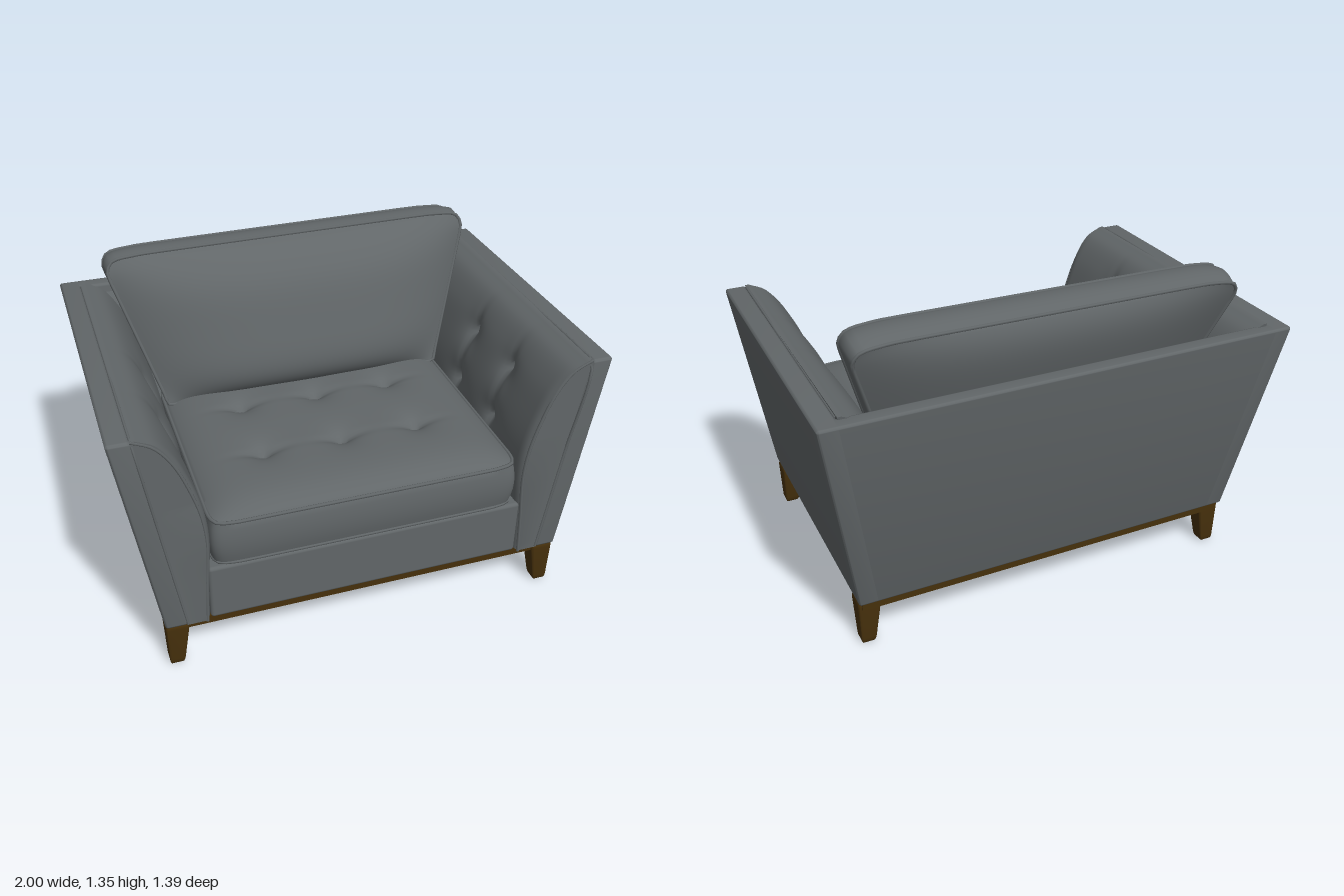
import * as THREE from 'three';
import { toCreasedNormals } from 'three/addons/utils/BufferGeometryUtils.js';
import { RoundedBoxGeometry } from 'three/addons/geometries/RoundedBoxGeometry.js';

const lerp = THREE.MathUtils.lerp;
const V = (x, y, z) => new THREE.Vector3(x, y, z);

// Move every vertex by a rule, then rebuild normals
function warp(geo, rule, crease = 0.7) {
  const p = geo.attributes.position;
  for (let i = 0; i < p.count; i++) p.setXYZ(i, ...rule(p.getX(i), p.getY(i), p.getZ(i)));
  geo.deleteAttribute('normal');
  geo.deleteAttribute('uv');
  geo.clearGroups();
  return toCreasedNormals(geo, crease);
}

// Dimple depth of a row of buttons at point (a, b)
function dimple(a, b, buttons, depth) {
  let d = 0;
  for (const [p, q] of buttons) {
    const da = a - p, db = b - q;
    d += depth * Math.exp(-Math.hypot(da, db) / 0.05);
    // short folds running out of each button
    d += depth * 0.25 * Math.exp(-(da * da) / 0.012 - (db * db) / 0.0004);
  }
  return d;
}

export function createModel() {
  const group = new THREE.Group();
  const fabric = new THREE.MeshStandardMaterial({ color: 0x616668 });
  fabric.name = 'greyFabric';
  const wood = new THREE.MeshStandardMaterial({ color: 0x46300c });
  wood.name = 'darkWood';

  const add = (name, geo, mat = fabric) => {
    const mesh = new THREE.Mesh(geo, mat);
    mesh.name = name;
    group.add(mesh);
    return mesh;
  };
  const piping = (name, pts, closed = false, r = 0.006) => add(name, new THREE.TubeGeometry(
    new THREE.CatmullRomCurve3(pts, closed, 'centripetal'), closed ? 160 : 40, r, 6, closed));

  const Y0 = 0.21, H = 0.91;
  const seamX = (y) => 0.765 + 0.145 * (y - Y0) / H;   // line between arm shell and padding

  // Padded inner arm profile, bottom to top
  const profile = new THREE.CatmullRomCurve3([
    V(0.67, 0.21, 0), V(0.66, 0.42, 0), V(0.65, 0.6, 0), V(0.665, 0.74, 0),
    V(0.705, 0.88, 0), V(0.755, 1.0, 0), V(0.82, 1.085, 0), V(0.895, 1.122, 0)]);
  const armButtons = [[0.92, -0.02], [0.92, 0.32], [0.69, -0.02], [0.69, 0.32]];

  for (const s of [1, -1]) {
    const side = s > 0 ? 'left' : 'right';
    // Outer arm shell, leaning out and back
    add(side + 'ArmShell', warp(new RoundedBoxGeometry(0.09, H, 1.23, 3, 0.012), (x, y, z) => {
      const t = y / H + 0.5, f = z / 1.23 + 0.5;
      return [s * 0.81 + s * 0.145 * t + x, Y0 + H * t - 0.01 * t * (1 - f), lerp(-0.55 - 0.14 * t, 0.68, f)];
    }));
    // Tufted arm padding
    add(side + 'ArmPadding', warp(new THREE.BoxGeometry(1, 1, 1, 1, 48, 72), (x, y, z) => {
      const c = profile.getPoint(y + 0.5), a = 0.5 + s * x, f = z + 0.5;
      const t = (c.y - Y0) / H;
      const zz = lerp(-0.5 - 0.14 * t, 0.677, f);
      const round = 0.02 * Math.max(0, (zz - 0.64) / 0.037) ** 2 * Math.min(1, 4 * (1 - t));
      const inner = Math.min(c.x + round + dimple(c.y, zz, armButtons, 0.05), seamX(c.y));
      return [s * lerp(inner, seamX(c.y), a), c.y, zz];
    }, 0.9));
    // Arm seams
    piping(side + 'ArmSeam', [V(s * 0.765, 0.215, 0.677), V(s * 0.838, 0.67, 0.677),
      V(s * 0.908, 1.11, 0.675), V(s * 0.91, 1.119, 0.6), V(s * 0.91, 1.114, 0), V(s * 0.91, 1.108, -0.62)]);
    piping(side + 'ArmFrontPiping', profile.getPoints(14).map((p) => V(s * (p.x + 0.016), p.y - 0.004, 0.673)), false, 0.007);
  }

  // Leaning back shell
  add('backShell', warp(new RoundedBoxGeometry(2, H, 0.07, 3, 0.012), (x, y, z) => {
    const t = y / H + 0.5;
    return [x * (0.855 + 0.145 * t), Y0 + H * t - 0.01 * t, -0.515 - 0.14 * t + z];
  }));
  // Padding inside the back
  add('backPadding', warp(new THREE.BoxGeometry(1, 1, 1, 1, 24, 1), (x, y, z) => {
    const t = y + 0.5, back = -0.5 - 0.14 * t;
    const front = lerp(-0.36, -0.58, t) - 0.055 * t ** 6;
    return [2 * x * (0.76 + 0.14 * t), Y0 + (H - 0.012) * t, lerp(back, front, z + 0.5)];
  }));

  // Seat base with front panel
  const base = add('seatBase', new RoundedBoxGeometry(1.34, 0.255, 1.15, 3, 0.015));
  base.position.set(0, 0.3375, 0.095);

  // Seat cushion: u across, v up, w front to back position
  const seatButtons = [];
  for (const x of [-0.34, 0, 0.33]) for (const z of [-0.05, 0.31]) seatButtons.push([x, z]);
  const seatPoint = (u, v, w) => {
    const corner = 0.02 * Math.abs(u * w) ** 16;
    const belly = 0.012 * (1 - (2 * v - 1) ** 2);
    const x = u * (0.642 - corner + belly), z = 0.14 + w * (0.525 - corner + belly);
    const crown = v > 0.999 ? 0.06 * (1 - u ** 8) * (1 - w ** 8) - dimple(x, z, seatButtons, 0.05) * (1 - w ** 8) : 0;
    return [x, 0.472 + 0.195 * v + crown, z];
  };
  add('seatCushion', warp(new THREE.BoxGeometry(2, 1, 2, 80, 6, 72),
    (x, y, z) => seatPoint(x, y + 0.5, z), 0.8));

  // Back cushion: u across, v up, w from front seam to back seam
  const backPoint = (u, v, w) => {
    const swell = 0.015 * Math.sin(Math.PI * w);
    const round = 0.04 * Math.max(0, (v - 0.9) / 0.1) ** 2;
    const half = 0.63 + 0.2 * v - round + swell * 0.6;
    const y = 0.69 + 0.645 * v - 0.025 * w * v + swell * v - 0.02 * Math.abs(u) ** 14 * v + 0.006 * u * v;
    let z = lerp(-0.2 - 0.2 * v, -0.36 - 0.19 * v, w);
    const dome = (1 - Math.abs(u) ** 3) * (1 - (2 * v - 1) ** 4);
    if (w < 0.001) z += 0.138 * dome;
    if (w > 0.999) z -= 0.065 * dome;
    return [u * half, y, z];
  };
  add('backCushion', warp(new THREE.BoxGeometry(2, 1, 1, 56, 40, 8),
    (x, y, z) => backPoint(x, y + 0.5, 0.5 - z), 0.8));

  // Cushion piping: walk around the unit square
  const loop = (n, fn) => {
    const pts = [], sides = [[-1, -1, 1, 0], [1, -1, 0, 1], [1, 1, -1, 0], [-1, 1, 0, -1]];
    for (const [a, b, da, db] of sides)
      for (let i = 0; i < n; i++) pts.push(V(...fn(a + 2 * da * i / n, b + 2 * db * i / n)));
    return pts;
  };
  piping('seatTopPiping', loop(16, (u, w) => seatPoint(u, 1, w)), true, 0.008);
  piping('seatBottomPiping', loop(16, (u, w) => seatPoint(u, 0, w)), true, 0.007);
  for (const w of [0, 1])
    piping(w ? 'backCushionRearPiping' : 'backCushionFrontPiping',
      loop(16, (u, v) => backPoint(u, (v + 1) / 2, w)), true, 0.008);

  // Wooden plinth: stepped rectangular rings
  const ring = (name, x, zf, zb, width, y, h) => {
    const rect = (S, i) => new S([[-x + i, -zf + i], [x - i, -zf + i], [x - i, -zb - i], [-x + i, -zb - i]]
      .map(([a, b]) => new THREE.Vector2(a, b)));
    const shape = rect(THREE.Shape, 0);
    shape.holes.push(rect(THREE.Path, width));
    const geo = new THREE.ExtrudeGeometry(shape, { depth: h, bevelEnabled: false });
    geo.rotateX(-Math.PI / 2).translate(0, y, 0);
    add(name, geo, wood);
  };
  ring('plinthRail', 0.84, 0.655, -0.535, 0.06, 0.175, 0.037);
  ring('plinthInnerLip', 0.785, 0.6, -0.48, 0.035, 0.195, 0.017);

  // Tapered legs, straight on the outer faces
  for (const s of [1, -1]) for (const f of [1, -1]) {
    const cx = 0.855, cz = f > 0 ? 0.67 : 0.53;
    add((f > 0 ? 'front' : 'back') + (s > 0 ? 'Left' : 'Right') + 'Leg',
      warp(new RoundedBoxGeometry(1, 1, 1, 3, 0.12), (x, y, z) => {
        const t = y + 0.5, size = 0.06 + 0.035 * Math.min(1, t * 1.2), inset = 0.006 * (1 - t);
        return [s * (cx - inset - size * (0.5 - s * x)), 0.212 * t, f * (cz - inset - size * (0.5 - f * z))];
      }, 0.6), wood);
  }
  return group;
}
